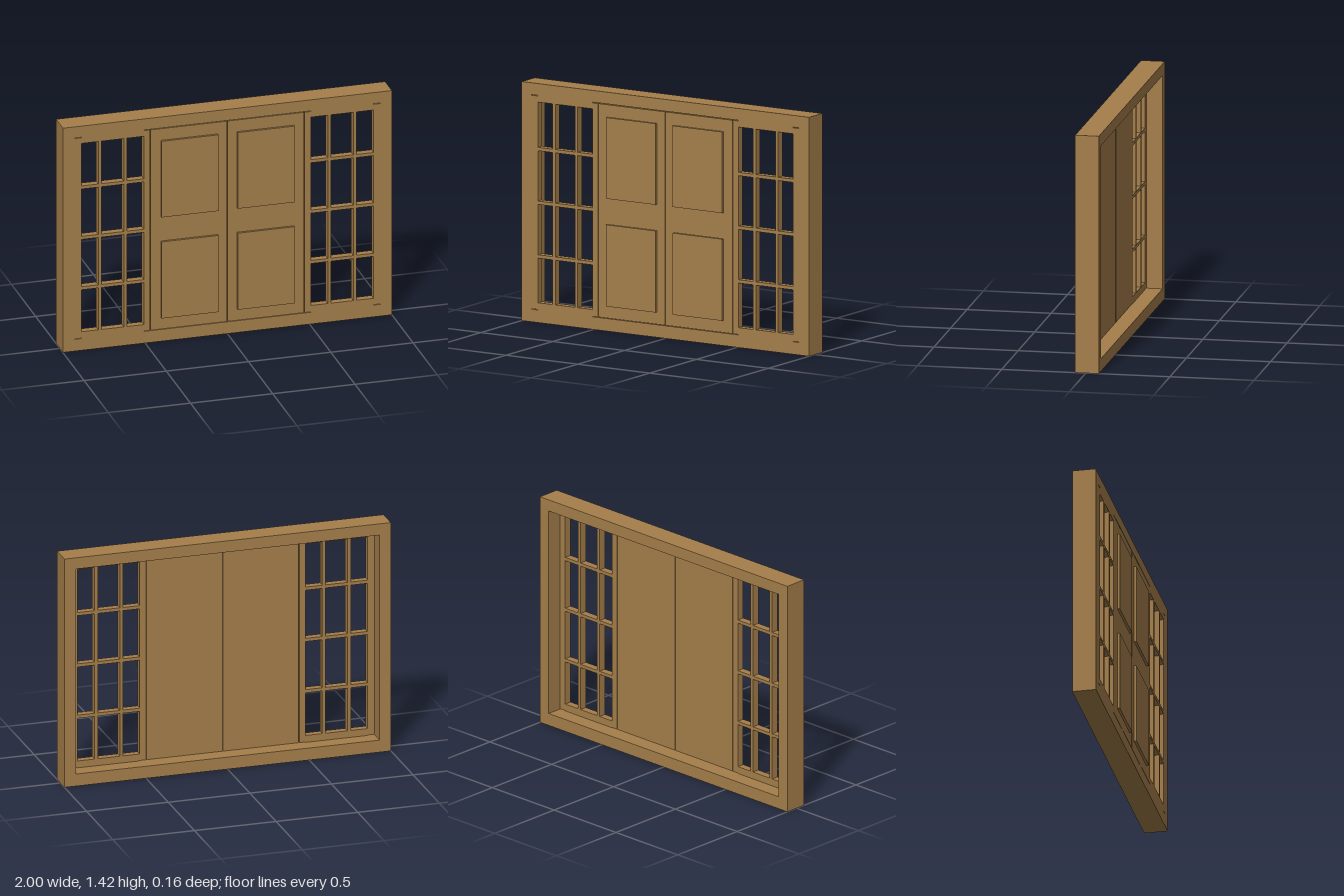
import * as THREE from 'three';

const FRONT = 0.063, BACK = -0.078, SASH_BACK = 0.018;
const wood = new THREE.MeshStandardMaterial({ color: 0xa57f4b });
wood.name = 'oak wood';

// Box given by its limits on each axis
function slab(name, x0, x1, y0, y1, z0 = SASH_BACK, z1 = FRONT) {
  const mesh = new THREE.Mesh(new THREE.BoxGeometry(x1 - x0, y1 - y0, z1 - z0), wood);
  mesh.position.set((x0 + x1) / 2, (y0 + y1) / 2, (z0 + z1) / 2);
  mesh.name = name;
  return mesh;
}

function rectangle(path, x0, x1, y0, y1) {
  path.moveTo(x0, y0).lineTo(x1, y0).lineTo(x1, y1).lineTo(x0, y1).closePath();
  return path;
}

// Deep outer frame around the whole opening
function outerFrame() {
  const shape = rectangle(new THREE.Shape(), -1, 1, 0, 1.42);
  shape.holes.push(rectangle(new THREE.Path(), -0.93, 0.93, 0.075, 1.35));
  const geometry = new THREE.ExtrudeGeometry(shape, { depth: FRONT - BACK, bevelEnabled: false });
  geometry.translate(0, 0, BACK);
  const mesh = new THREE.Mesh(geometry, wood);
  mesh.name = 'outerFrame';
  return mesh;
}

// Door leaf with two raised panels on the front
function door(side) {
  const group = new THREE.Group();
  const span = (a, b) => (side > 0 ? [a, b] : [-b, -a]);
  group.add(slab('doorLeaf', ...span(0.002, 0.466), 0.078, 1.346));
  group.add(slab('lowerPanel', ...span(0.059, 0.404), 0.15, 0.635, FRONT - 0.005, 0.078));
  group.add(slab('upperPanel', ...span(0.059, 0.404), 0.79, 1.272, FRONT - 0.005, 0.078));
  group.name = side > 0 ? 'leftDoor' : 'rightDoor';
  return group;
}

// Side window: stiles, rails and glazing bars
function sideWindow(side) {
  const group = new THREE.Group();
  const span = (a, b) => (side > 0 ? [a, b] : [-b, -a]);
  group.add(slab('innerStile', ...span(0.47, 0.508), 0.078, 1.346));
  group.add(slab('outerStile', ...span(0.888, 0.93), 0.078, 1.346));
  group.add(slab('bottomRail', ...span(0.508, 0.888), 0.075, 0.118));
  group.add(slab('topRail', ...span(0.508, 0.888), 1.31, 1.35));
  for (const x of [0.62, 0.775]) {
    group.add(slab('verticalBar', ...span(x - 0.01, x + 0.01), 0.118, 1.31));
  }
  for (const y of [0.393, 0.712, 1.031]) {
    group.add(slab('horizontalBar', ...span(0.508, 0.888), y - 0.01, y + 0.01));
  }
  group.name = side > 0 ? 'leftWindow' : 'rightWindow';
  return group;
}

export function createModel() {
  const model = new THREE.Group();
  model.name = 'doubleDoorWithSideWindows';
  model.add(outerFrame());
  for (const side of [-1, 1]) model.add(door(side), sideWindow(side));
  return model;
}
